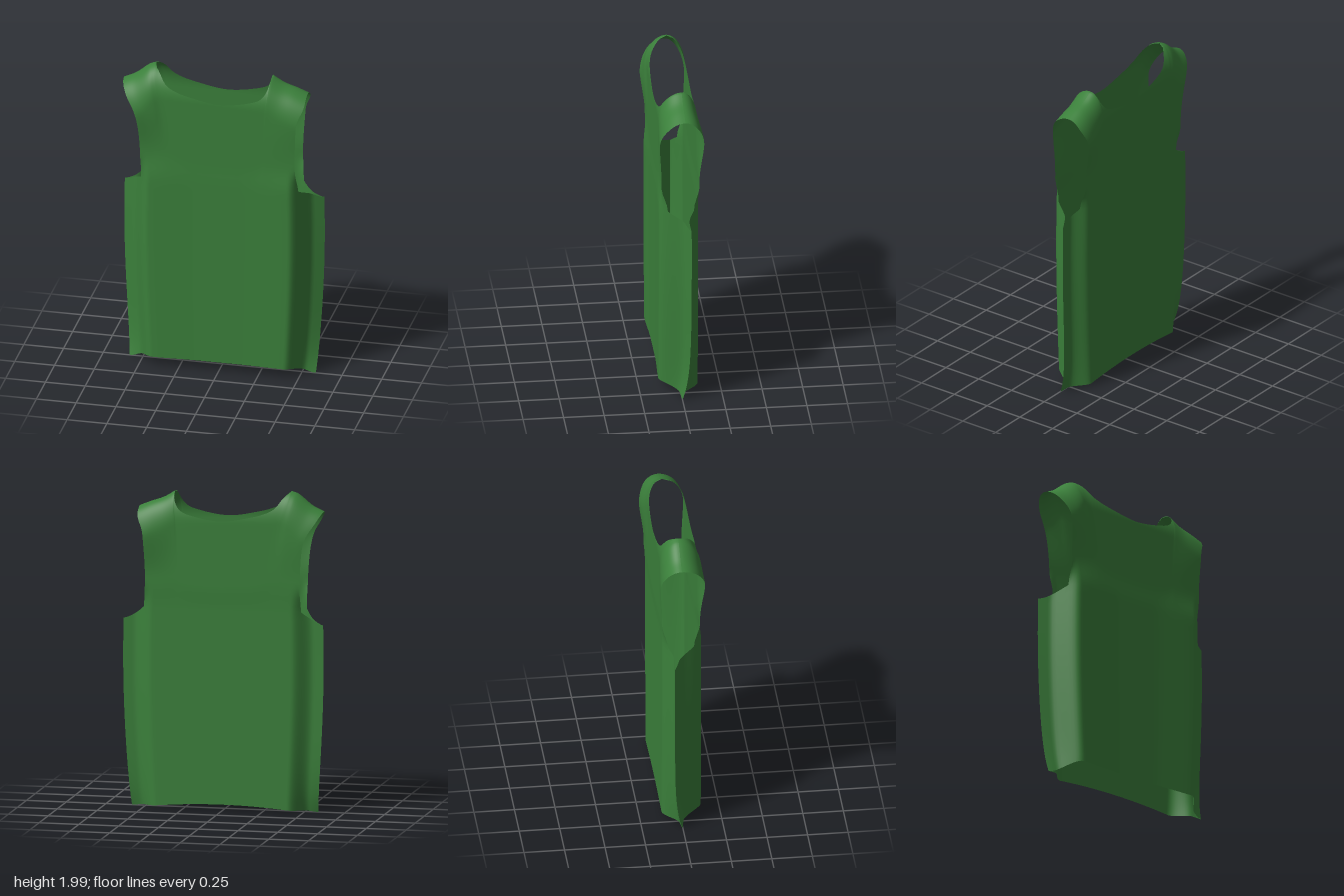
import * as THREE from 'three';

const { lerp, smoothstep } = THREE.MathUtils;
const curve = (pts) => new THREE.CatmullRomCurve3(pts.map(([x, y]) => new THREE.Vector3(x, y, 0)), false, 'centripetal');

// Column layout: side flap beyond ARM, shoulder seam from NECK to ARM, neckline inside NECK
const HALF = 48, ARM = 38, NECK = 22, LOW_ROWS = 24, UP_ROWS = 32;

const neckline = curve([[-0.42, 2], [-0.385, 1.97], [-0.33, 1.9], [-0.27, 1.868], [-0.17, 1.84], [0, 1.812],
  [0.17, 1.835], [0.26, 1.868], [0.297, 1.92], [0.308, 1.98]]);
const shoulders = {
  right: curve([[-0.42, 2], [-0.46, 1.985], [-0.55, 1.915], [-0.622, 1.88]]),
  left: curve([[0.308, 1.98], [0.38, 1.937], [0.46, 1.908], [0.53, 1.88]]),
};
const sideWidth = (y) => 0.585 + 0.045 * Math.sin((Math.PI / 2) * (y / 0.95));
const armX = (ARM / HALF) * sideWidth(1.26);
const armholes = {
  right: curve([[-armX, 1.26], [-0.492, 1.4], [-0.508, 1.65], [-0.53, 1.73], [-0.58, 1.81], [-0.622, 1.88]]),
  left: curve([[armX, 1.26], [0.48, 1.4], [0.485, 1.66], [0.493, 1.74], [0.528, 1.83], [0.53, 1.88]]),
};

// Lower body: full torso with thin flaps along the side seams
function lowerPoint(i, v, dir) {
  const s = i / HALF, a = Math.abs(s), arm = ARM / HALF;
  const hem = dir > 0 ? lerp(0.072, 0.008, smoothstep(a, 0.72, 1)) : 0.008 + 0.042 * (1 - s * s);
  const flap = Math.max(0, (a - arm) / (1 - arm));
  const top = 1.18 + 0.08 * Math.pow(1 - flap, 1.6);
  const y = lerp(hem, top, v);
  const seam = -0.053 * (1 - Math.exp(-y / 0.15));
  const k = smoothstep(a, 0.7, 0.9);
  const out = Math.max(0, (a - 0.68) / 0.32);
  const z = dir > 0
    ? lerp(0.12 + 0.01 * smoothstep(a, 0.2, 0.7), lerp(0.05, seam, out), k)
    : lerp(-0.112, lerp(-0.035, seam, out), k);
  return new THREE.Vector3(s * sideWidth(y), y, z);
}

// Upper body: blended between underarm line, armholes, neckline and shoulder seams
function upperPoint(i, v, dir) {
  const t = 1 - (1 - v) * (1 - v);
  const u = i / ARM, a = Math.abs(u), side = u < 0 ? 'right' : 'left';
  const topAt = (j) => Math.abs(j) >= NECK
    ? shoulders[side].getPoint((Math.abs(j) - NECK) / (ARM - NECK))
    : neckline.getPointAt((j + NECK) / (2 * NECK));
  const base = lowerPoint(i, 1, dir), top = topAt(i);
  const edgeBase = lowerPoint(Math.sign(u || 1) * ARM, 1, dir);
  const edgeRuled = edgeBase.clone().lerp(topAt(Math.sign(u || 1) * ARM), t);
  const p = base.clone().lerp(top, t);
  const pull = armholes[side].getPointAt(t).sub(edgeRuled).multiplyScalar(a ** 3);
  const x = p.x + pull.x, y = p.y + pull.y;

  // Depth rounds over to the shoulder ridge
  const ridge = Math.abs(i) >= NECK ? top.y : lerp(2, 1.98, (x + 0.42) / 0.728);
  const d = Math.min(1, Math.max(0, (ridge - y) / 0.19));
  const dome = Math.sqrt(1 - (1 - d) ** 2);
  const swell = (dir > 0) === (u < 0) ? 0.03 : 0.012;
  const depth = dir * (0.117 + swell * smoothstep(a, 0.5, 1) * smoothstep(y, 1.45, 1.74));
  const ridgeZ = u < 0 ? -0.01 : -0.025;
  const z = lerp(base.z, lerp(ridgeZ, depth, dome), smoothstep(t, 0, 0.25));
  return new THREE.Vector3(x, y, z);
}

// One panel: dir 1 is the front, dir -1 the back
function panelGeometry(dir) {
  const pos = [], index = [], rows = [];
  for (let r = 0; r <= LOW_ROWS + UP_ROWS; r++) {
    const upper = r > LOW_ROWS, lim = upper ? ARM : HALF, row = new Map();
    for (let i = -lim; i <= lim; i++) {
      const p = upper ? upperPoint(i, (r - LOW_ROWS) / UP_ROWS, dir) : lowerPoint(i, r / LOW_ROWS, dir);
      row.set(i, pos.length / 3);
      pos.push(p.x, p.y, p.z);
    }
    if (r > 0) {
      const below = rows[r - 1];
      for (let i = -lim; i < lim; i++) {
        const a = below.get(i), b = below.get(i + 1), c = row.get(i + 1), e = row.get(i);
        if (dir > 0) index.push(a, b, c, a, c, e);
        else index.push(a, c, b, a, e, c);
      }
    }
    rows.push(row);
  }
  const g = new THREE.BufferGeometry();
  g.setAttribute('position', new THREE.Float32BufferAttribute(pos, 3));
  g.setIndex(index);
  g.computeVertexNormals();
  return g;
}

export function createModel() {
  const group = new THREE.Group();
  group.name = 'sleevelessTop';
  const fabric = new THREE.MeshStandardMaterial({ color: 0x3b803b, side: THREE.DoubleSide });
  fabric.name = 'green fabric';
  for (const [name, dir] of [['frontPanel', 1], ['backPanel', -1]]) {
    const mesh = new THREE.Mesh(panelGeometry(dir), fabric);
    mesh.name = name;
    group.add(mesh);
  }
  return group;
}
